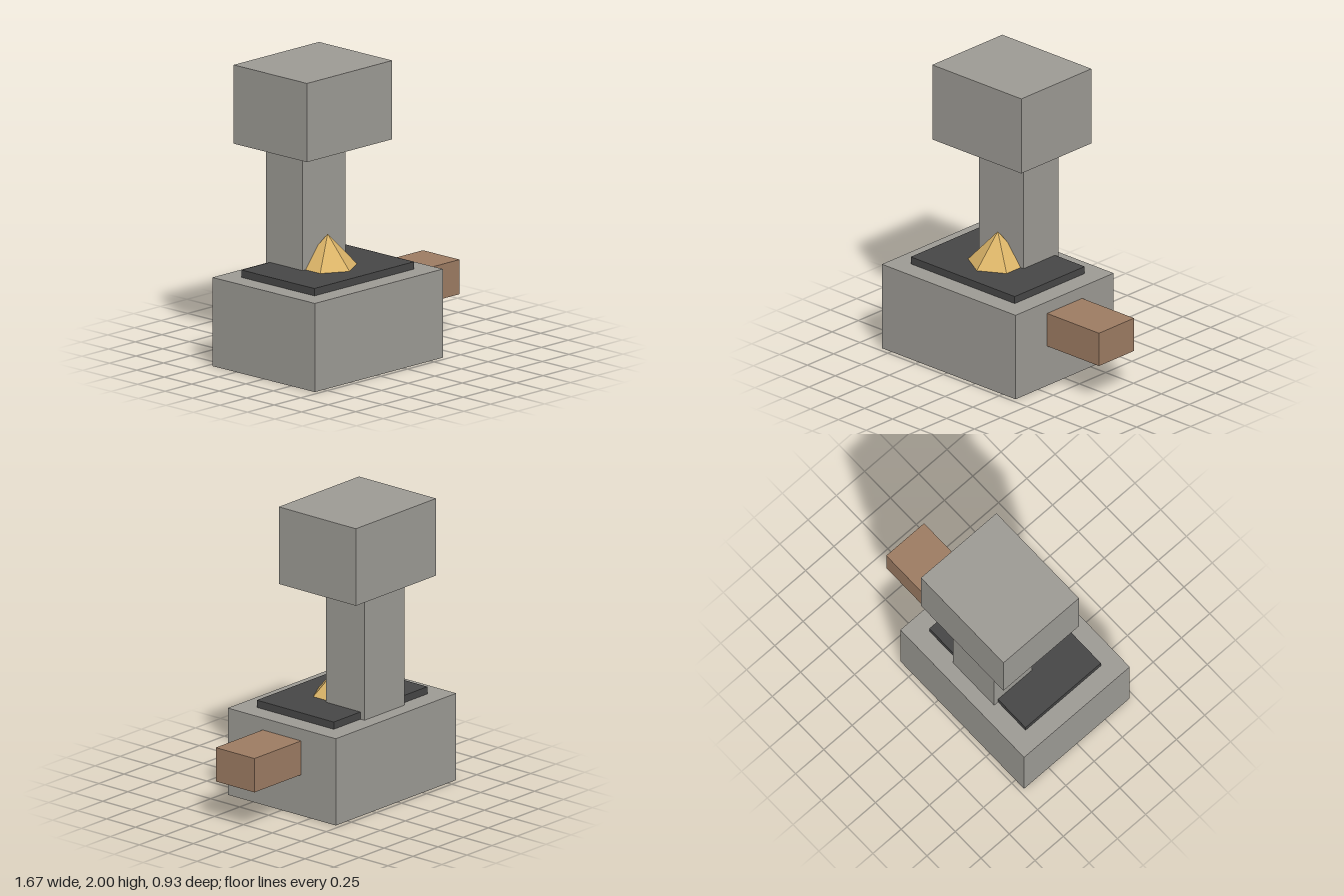
import * as THREE from 'three';

function material(name, color) {
  const m = new THREE.MeshStandardMaterial({ color });
  m.name = name;
  return m;
}

export function createModel() {
  const stone = material('grey stone', 0x9c9a94);
  const charcoal = material('charcoal', 0x464646);
  const wood = material('brown wood', 0x9c7b62);
  const gold = material('golden powder', 0xdbb468);

  const model = new THREE.Group();
  model.name = 'machine';

  // Box given by its lower and upper limits on each axis
  function block(name, mat, [x0, x1], [y0, y1], [z0, z1]) {
    const mesh = new THREE.Mesh(new THREE.BoxGeometry(x1 - x0, y1 - y0, z1 - z0), mat);
    mesh.position.set((x0 + x1) / 2, (y0 + y1) / 2, (z0 + z1) / 2);
    mesh.name = name;
    model.add(mesh);
  }

  // Body and side handle
  block('base', stone, [-0.833, 0.367], [0, 0.6], [-0.467, 0.467]);
  block('handle', wood, [0.367, 0.833], [0.283, 0.517], [-0.167, 0.167]);

  // Work plate, with the column standing through its rear edge
  block('plate', charcoal, [-0.7, 0.233], [0.6, 0.65], [-0.333, 0.333]);
  block('column', stone, [-0.433, -0.033], [0.6, 1.467], [-0.367, -0.033]);
  block('head', stone, [-0.633, 0.167], [1.467, 2], [-0.467, 0.2]);

  // Six-sided pile on the plate, one corner facing forward
  const coneGeometry = new THREE.ConeGeometry(0.2, 0.217, 6).toNonIndexed();
  coneGeometry.computeVertexNormals();
  const pile = new THREE.Mesh(coneGeometry, gold);
  pile.position.set(-0.233, 0.65 + 0.217 / 2, 0);
  pile.name = 'pile';
  model.add(pile);

  return model;
}
